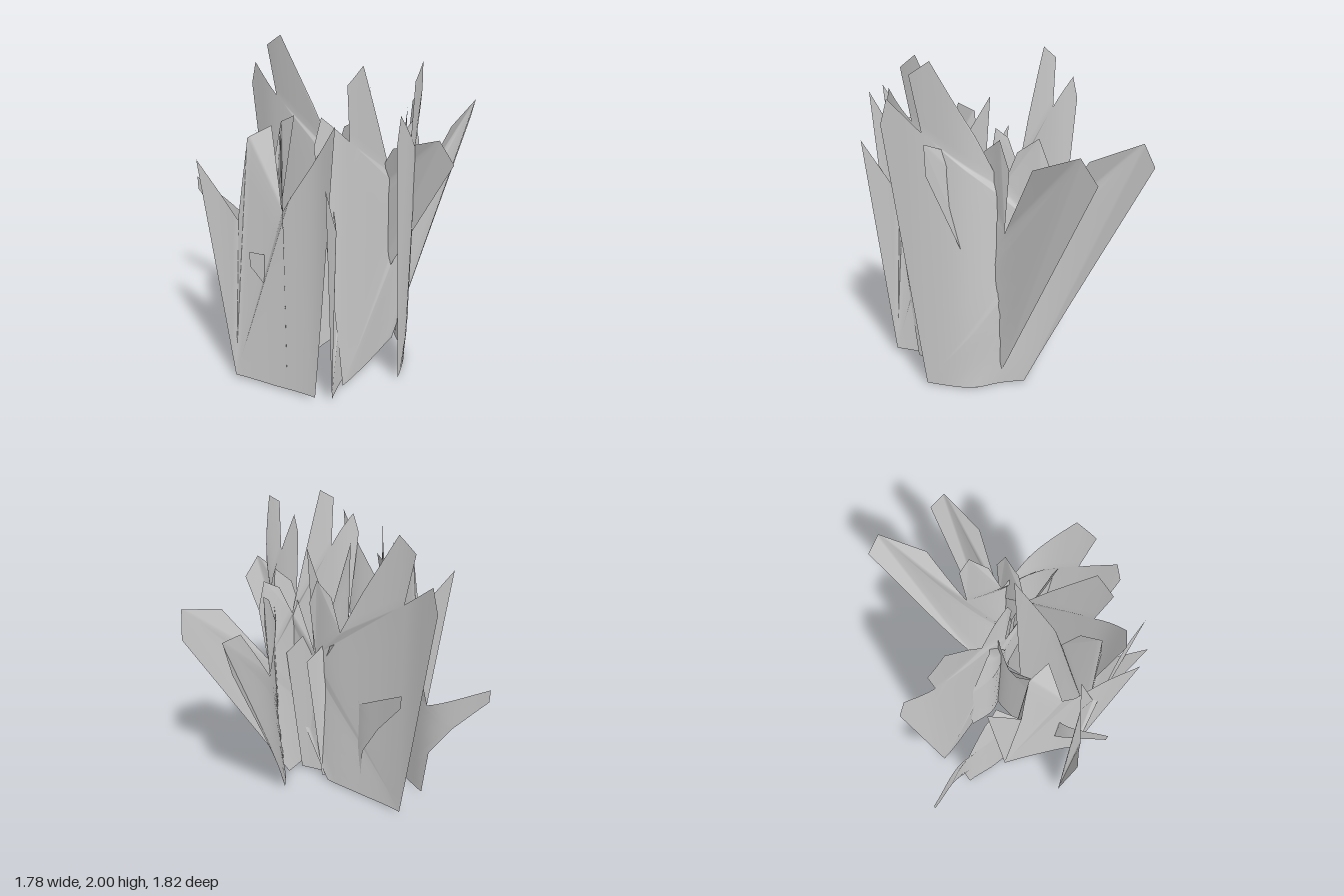
import * as THREE from 'three';
import { mergeVertices } from 'three/addons/utils/BufferGeometryUtils.js';

const material = new THREE.MeshStandardMaterial({ color: 0xcccccc, side: THREE.DoubleSide });

// Outlines of the three kinds of leaf sheet: [along, height, sideways curl to the right].
const tallSheet = [
  [-0.55, 0.01, 0], [-0.25, 0, 0], [0.04, 0.01, 0], [0.74, 1.42, 0], [0.68, 1.57, 0.07],
  [0.4, 1.46, 0.1], [0.14, 1.02, 0.03], [0.18, 1.4, 0.03], [0.12, 1.57, 0.04], [0, 1.49, 0.03],
  [-0.08, 1.28, 0], [-0.23, 1.59, 0.01], [-0.45, 2, 0.03], [-0.57, 1.92, 0.02], [-0.52, 1.6, 0],
  [-0.72, 1.78, 0], [-0.765, 1.63, 0],
];
const middleSheet = [
  [-0.25, 0.03, 0], [0.02, 0.02, 0], [0.29, 0.03, 0], [0.43, 1.77, 0], [0.14, 1.3, 0],
  [0.08, 1.2, -0.03], [-0.02, 1.66, -0.13], [-0.14, 1.59, -0.08], [-0.18, 1.12, 0], [-0.41, 1.46, 0],
];
const splayedSheet = [
  [0.4, 0.02, 0], [0.7, 0.02, 0], [0.95, 0.03, 0], [1.03, 1.0, 0], [0.9, 1.15, 0],
  [0.78, 0.9, 0], [0.66, 1.15, -0.08], [0.53, 1.2, -0.02], [0.4, 0.77, 0], [0, 1.02, 0],
  [0, 0.93, 0], [0.21, 0.66, 0], [0.36, 0.4, 0],
];

// Split every triangle into four so the sheet can follow its ground curve.
function subdivide(triangles) {
  return triangles.flatMap(([a, b, c]) => {
    const mid = (p, q) => p.map((value, i) => (value + q[i]) / 2);
    const ab = mid(a, b), bc = mid(b, c), ca = mid(c, a);
    return [[a, ab, ca], [ab, b, bc], [ca, bc, c], [ab, bc, ca]];
  });
}

// Stand an outline up along a ground path of [x, z] points.
function makeSheet(name, outline, path) {
  const points = outline.map(([u, y]) => new THREE.Vector2(u, y));
  let triangles = THREE.ShapeUtils.triangulateShape(points, [])
    .map((face) => face.map((i) => outline[i]));
  for (let i = 0; i < 3; i++) triangles = subdivide(triangles);

  const us = outline.map((p) => p[0]);
  const low = Math.min(...us), high = Math.max(...us);
  const curve = new THREE.CatmullRomCurve3(path.map(([x, z]) => new THREE.Vector3(x, 0, z)));

  const positions = [];
  for (const [u, y, curl] of triangles.flat()) {
    const t = THREE.MathUtils.clamp((u - low) / (high - low), 0, 1);
    const p = curve.getPointAt(t), d = curve.getTangentAt(t);
    positions.push(p.x - d.z * curl, y, p.z + d.x * curl);
  }
  const geometry = new THREE.BufferGeometry();
  geometry.setAttribute('position', new THREE.Float32BufferAttribute(positions, 3));
  const welded = mergeVertices(geometry, 1e-4);
  welded.computeVertexNormals();
  const mesh = new THREE.Mesh(welded, material);
  mesh.name = name;
  return mesh;
}

export function createModel() {
  const group = new THREE.Group();
  group.name = 'grassClump';
  group.add(
    // Tall sheets with one long blade leaning out
    makeSheet('backTallLeaf', tallSheet,
      [[-0.61, -0.19], [-0.4, -0.1], [-0.1, -0.04], [0.2, 0], [0.5, 0.08], [0.89, 0.2]]),
    makeSheet('leftTallLeaf', tallSheet,
      [[0.68, 0.59], [0.67, 0.3], [0.62, 0.08], [0.5, -0.08], [0.39, -0.35], [0.29, -0.91]]),
    makeSheet('innerTallLeaf', tallSheet,
      [[0.3, 0.78], [0.38, 0.62], [0.46, 0.2], [0.5, -0.03], [0.57, -0.22], [0.76, -0.71]]),
    // Narrower sheets
    makeSheet('frontMiddleLeaf', middleSheet,
      [[-0.41, 0.8], [-0.2, 0.77], [0.29, 0.77], [0.43, 0.81]]),
    makeSheet('leftMiddleLeaf', middleSheet,
      [[0.42, 0.9], [0.38, 0.65], [0.36, 0.3], [0.33, 0.06]]),
    makeSheet('rightMiddleLeaf', middleSheet,
      [[-0.36, 0.22], [-0.21, 0.365], [0.09, 0.74], [0.16, 0.88]]),
    // Low sheets with a short splayed blade
    makeSheet('rightSplayedLeaf', splayedSheet,
      [[-0.89, 0.12], [-0.53, 0.13], [-0.3, 0.26], [-0.05, 0.39], [0.05, 0.52]]),
    makeSheet('innerSplayedLeaf', splayedSheet,
      [[-0.03, 0.91], [-0.03, 0.64], [0.05, 0.45], [0.2, 0.05], [0.32, -0.02]]),
    makeSheet('backSplayedLeaf', splayedSheet,
      [[-0.41, -0.17], [-0.25, -0.1], [-0.08, -0.03], [0.1, 0.07], [0.3, 0.06], [0.5, 0.03]]),
  );
  return group;
}
